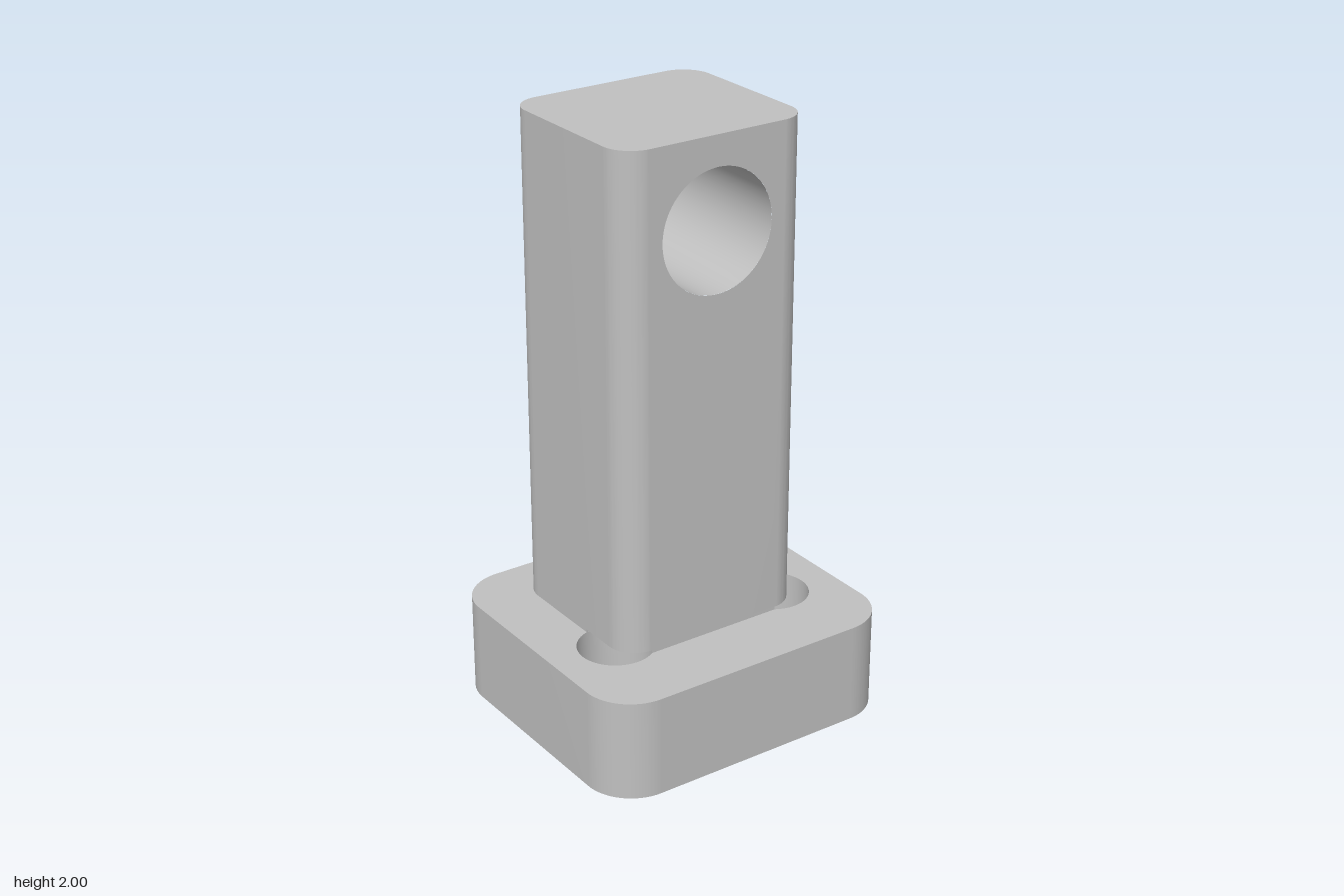
import * as THREE from 'three';
import { mergeGeometries, toCreasedNormals } from 'three/addons/utils/BufferGeometryUtils.js';

// Plan coordinates: u runs front to back of the block, v runs across it.
const POST = { u0: -0.375, u1: 0.243, v: 0.34, r: 0.098 };
const BASE = { u0: -0.485, u1: 0.485, v: 0.54, r: 0.164 };
const BOLT = { u: 0.137, v: 0.309, r: 0.125 };
const BORE = { y: 1.7, r: 0.2 };
const BASE_TOP = 0.34, POST_BOTTOM = 0.35, TOP = 2;

function roundedRect({ u0, u1, v, r }) {
  const s = new THREE.Shape();
  s.absarc(u1 - r, v - r, r, 0, Math.PI / 2);
  s.absarc(u0 + r, v - r, r, Math.PI / 2, Math.PI);
  s.absarc(u0 + r, -v + r, r, Math.PI, Math.PI * 1.5);
  s.absarc(u1 - r, -v + r, r, Math.PI * 1.5, Math.PI * 2);
  s.closePath();
  return s;
}

function circle(x, y, r) {
  const p = new THREE.Path();
  p.absarc(x, y, r, 0, Math.PI * 2, true);
  return p;
}

// Extrude a plan shape upwards between two heights.
function extrudeUp(shape, y0, y1, curveSegments) {
  const g = new THREE.ExtrudeGeometry(shape, { depth: y1 - y0, bevelEnabled: false, curveSegments });
  return g.rotateX(-Math.PI / 2).translate(0, y0, 0);
}

// Keep only bare positions so that pieces can be merged.
function bare(g) {
  const out = g.index ? g.toNonIndexed() : g;
  out.deleteAttribute('uv');
  out.deleteAttribute('normal');
  return out;
}

function basePlate() {
  const s = roundedRect(BASE);
  for (const side of [1, -1]) s.holes.push(circle(BOLT.u, side * BOLT.v, BOLT.r));
  return extrudeUp(s, 0, BASE_TOP, 24);
}

// Thin foot of the post, with both bolt holes biting into its corners.
function postFoot() {
  const { u0, u1, v, r } = POST;
  const du = Math.sqrt(BOLT.r ** 2 - (v - BOLT.v) ** 2);
  const dv = Math.sqrt(BOLT.r ** 2 - (u1 - BOLT.u) ** 2);
  const a = Math.atan2(-dv, u1 - BOLT.u);
  const b = Math.atan2(v - BOLT.v, -du);
  const s = new THREE.Shape();
  s.absarc(BOLT.u, BOLT.v, BOLT.r, a, b, true);
  s.absarc(u0 + r, v - r, r, Math.PI / 2, Math.PI);
  s.absarc(u0 + r, -v + r, r, Math.PI, Math.PI * 1.5);
  s.absarc(BOLT.u, -BOLT.v, BOLT.r, -b, -a, true);
  s.closePath();
  return extrudeUp(s, BASE_TOP, POST_BOTTOM, 16);
}

// Post body: rounded prism whose two bored faces are replaced by pierced panels.
function postBody() {
  const { u0, u1, v, r } = POST;
  const prism = bare(extrudeUp(roundedRect(POST), POST_BOTTOM, TOP, 12));
  const p = prism.attributes.position;
  const kept = [];
  for (let i = 0; i < p.count; i += 3) {
    const flat = [u0, u1].some(u => [0, 1, 2].every(k => Math.abs(p.getX(i + k) - u) < 1e-4));
    if (!flat) for (let k = 0; k < 3; k++) kept.push(p.getX(i + k), p.getY(i + k), p.getZ(i + k));
  }
  const shell = new THREE.BufferGeometry();
  shell.setAttribute('position', new THREE.Float32BufferAttribute(kept, 3));

  const w = v - r;
  const panel = new THREE.Shape([[-w, POST_BOTTOM], [w, POST_BOTTOM], [w, TOP], [-w, TOP]]
    .map(c => new THREE.Vector2(...c)));
  panel.holes.push(circle(0, BORE.y, BORE.r));
  const front = new THREE.ShapeGeometry(panel, 48).rotateY(Math.PI / 2).translate(u1, 0, 0);
  const back = new THREE.ShapeGeometry(panel, 48).rotateY(-Math.PI / 2).translate(u0, 0, 0);

  // Inward-facing wall of the cross bore
  const bore = new THREE.CylinderGeometry(BORE.r, BORE.r, u1 - u0, 48, 1, true)
    .scale(-1, 1, 1).rotateZ(Math.PI / 2).translate((u0 + u1) / 2, BORE.y, 0);
  return mergeGeometries([shell, bare(front), bare(back), bare(bore)]);
}

export function createModel() {
  const grey = new THREE.MeshStandardMaterial({ color: 0xc0c0c0 });
  grey.name = 'plain grey';
  const model = new THREE.Group();
  model.name = 'boredPostOnBase';
  const parts = { basePlate: basePlate(), postFoot: postFoot(), post: postBody() };
  for (const [name, geometry] of Object.entries(parts)) {
    const mesh = new THREE.Mesh(toCreasedNormals(bare(geometry), 0.5), grey);
    mesh.name = name;
    model.add(mesh);
  }
  // The block stands diagonally to the front
  model.rotation.y = -Math.PI / 4;
  return model;
}
